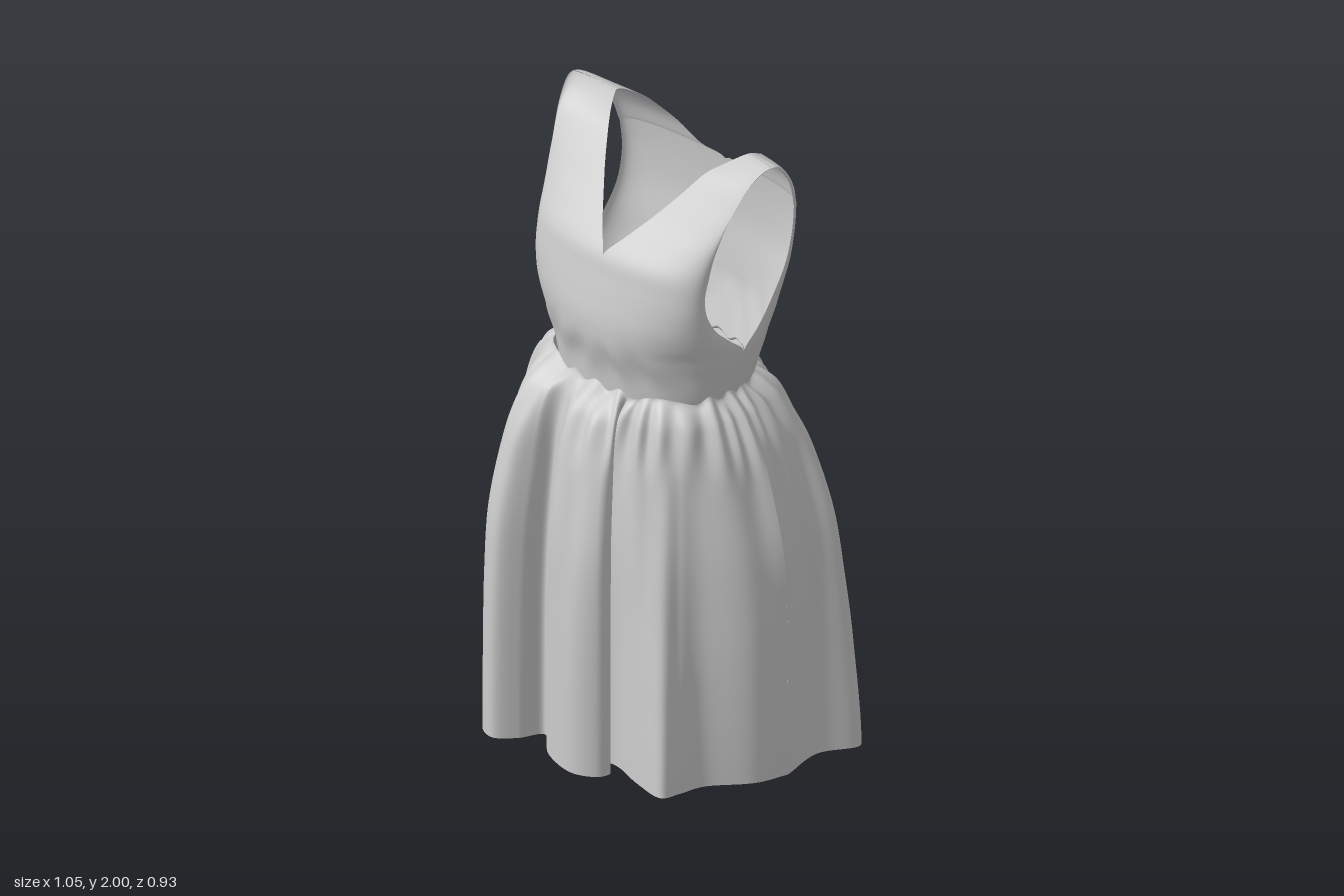
import * as THREE from 'three';
import { mergeGeometries, mergeVertices } from 'three/addons/utils/BufferGeometryUtils.js';

const cloth = new THREE.MeshStandardMaterial({ color: 0xcccccc, side: THREE.DoubleSide });
const { lerp, smoothstep, clamp } = THREE.MathUtils;
const bump = (y, mid, width) => Math.exp(-(((y - mid) / width) ** 2));
const spow = (v, p) => Math.sign(v) * Math.abs(v) ** p;

// Grid surface from a function point(u, v) -> [x, y, z]
function grid(point, nu, nv, flip = false) {
  const pos = [], index = [];
  for (let j = 0; j <= nv; j++)
    for (let i = 0; i <= nu; i++) pos.push(...point(i / nu, j / nv));
  for (let j = 0; j < nv; j++)
    for (let i = 0; i < nu; i++) {
      const a = j * (nu + 1) + i, b = a + 1, c = a + nu + 1, d = c + 1;
      index.push(...(flip ? [a, c, b, b, c, d] : [a, b, c, b, d, c]));
    }
  const g = new THREE.BufferGeometry();
  g.setAttribute('position', new THREE.Float32BufferAttribute(pos, 3));
  g.setIndex(index);
  return g;
}

function clothMesh(geometry, name) {
  const g = mergeVertices(geometry, 1e-4);
  g.computeVertexNormals();
  const mesh = new THREE.Mesh(g, cloth);
  mesh.name = name;
  return mesh;
}

// Bodice rows: height, neckline x and z, armhole x and z
const FRONT = [
  [1.24, 0, 0.25, 0.305, 0.02], [1.32, 0, 0.257, 0.328, 0.01], [1.4, 0, 0.278, 0.348, 0],
  [1.45, 0, 0.282, 0.345, 0.05], [1.5, 0, 0.278, 0.335, 0.1], [1.56, 0, 0.265, 0.328, 0.13],
  [1.62, 0, 0.25, 0.325, 0.135], [1.68, 0, 0.232, 0.328, 0.122], [1.74, 0.05, 0.18, 0.333, 0.108],
  [1.8, 0.1, 0.122, 0.342, 0.088], [1.86, 0.145, 0.068, 0.352, 0.062], [1.93, 0.192, 0.005, 0.369, 0.025],
  [1.975, 0.228, -0.045, 0.382, -0.01], [1.995, 0.25, -0.08, 0.391, -0.038], [2, 0.26, -0.1, 0.394, -0.06],
];
const BACK = [
  [1.24, 0, -0.2, 0.305, 0.02], [1.32, 0, -0.225, 0.328, 0.01], [1.4, 0, -0.25, 0.348, 0],
  [1.45, 0, -0.257, 0.345, -0.06], [1.5, 0, -0.263, 0.34, -0.11], [1.6, 0, -0.276, 0.336, -0.18],
  [1.7, 0, -0.277, 0.339, -0.207], [1.785, 0, -0.272, 0.347, -0.207], [1.8, 0.09, -0.267, 0.349, -0.204],
  [1.85, 0.16, -0.25, 0.356, -0.19], [1.9, 0.21, -0.215, 0.363, -0.168], [1.95, 0.243, -0.17, 0.376, -0.13],
  [1.98, 0.254, -0.14, 0.386, -0.103], [1.995, 0.259, -0.118, 0.392, -0.08], [2, 0.26, -0.1, 0.394, -0.06],
];

// One quarter of the bodice, swept from the centre line to the side
function bodicePanel(rows, side, face) {
  const curve = (k) => new THREE.CatmullRomCurve3(
    rows.map((r) => new THREE.Vector3(r[k], r[0], r[k + 1])), false, 'catmullrom', 0.5);
  const neck = curve(1), arm = curve(3), last = rows.length - 1;
  const power = face > 0 ? 0.95 : 0.85;
  const depth = (w) => Math.max(0, 1 - w ** (2 / power)) ** (power / 2);
  return grid((u, v) => {
    const n = neck.getPoint(v), a = arm.getPoint(v);
    const k = Math.min(Math.floor(v * last), last - 1);
    // straight side seam below the armhole
    const za = k < 2 ? lerp(rows[k][4], rows[k + 1][4], v * last - k) : a.z;
    const xn = Math.max(0, n.x), t = u * Math.PI / 2;
    const x = lerp(xn, a.x, Math.sin(t) ** power);
    let z = lerp(za, n.z, depth(Math.min(1, x / a.x)) / depth(xn / a.x));
    // puckers above the waist seam
    const wrinkle = 0.005 * bump(n.y, 1.36, 0.06) * Math.cos(x * 55 + 14 * n.y + side * Math.sin(9 * x));
    z += face * wrinkle * Math.cos(t);
    const y = n.y - 0.022 * (1 - u) * smoothstep(n.y, 1.92, 2);
    // the bodice leans slightly to the wearer's right
    const lean = 0.011 * smoothstep(n.y, 1.25, 1.42) * x / a.x;
    return [side * x - lean, y, z];
  }, 24, last * 5, side * face < 0);
}

// Hem outline going round from the left side through the front: x, z, matching waist angle
const HEM = [
  [0.515, 0, 0], [0.49, 0.11, 14], [0.41, 0.23, 29], [0.395, 0.32, 38], [0.375, 0.385, 46], [0.26, 0.362, 56],
  [0.15, 0.325, 64], [0.085, 0.335, 69], [0.11, 0.355, 72], [0.165, 0.37, 75], [0.155, 0.42, 79],
  [0.08, 0.453, 84], [-0.04, 0.415, 96], [-0.13, 0.335, 105], [-0.165, 0.41, 112], [-0.22, 0.465, 118],
  [-0.295, 0.42, 127], [-0.34, 0.275, 140], [-0.42, 0.19, 152], [-0.505, 0.09, 167], [-0.527, 0, 180],
  [-0.49, -0.1, 194], [-0.455, -0.26, 212], [-0.33, -0.39, 232], [-0.2, -0.462, 247], [-0.05, -0.46, 263],
  [0.09, -0.42, 280], [0.19, -0.4, 293], [0.29, -0.35, 306], [0.41, -0.35, 318], [0.522, -0.29, 330],
  [0.475, -0.16, 344], [0.515, 0, 360],
];

// Share of the flare reached, at heights TOP to 0: front, sides, back
const TOP = 1.265;
const FLARE = [[TOP, 0, 0, 0], [1.235, 0.22, 0.12, 0.14], [1.2, 0.42, 0.26, 0.25], [1.1, 0.65, 0.5, 0.38],
  [1, 0.77, 0.65, 0.46], [0.8, 0.92, 0.88, 0.6], [0.6, 0.97, 0.97, 0.72], [0.4, 0.99, 0.99, 0.85], [0, 1, 1, 1]];

// Smooth interpolation of the flare table at height y and angle a
function flare(y, a) {
  const s = Math.sin(a);
  // the front left corner hangs straight, like the back
  const slow = Math.max(-s, 1.1 * bump(a, 0.72, 0.3));
  const f = FLARE.map((r) => lerp(lerp(r[2], r[1], Math.max(0, s) ** 2), r[3], Math.max(0, slow)));
  const slope = (i) => i < 1 || i > FLARE.length - 2 ? 0
    : (f[i + 1] - f[i - 1]) / (FLARE[i + 1][0] - FLARE[i - 1][0]);
  let k = 0;
  while (k < FLARE.length - 2 && FLARE[k + 1][0] > y) k++;
  const h = FLARE[k + 1][0] - FLARE[k][0], t = clamp((y - FLARE[k][0]) / h, 0, 1);
  return f[k] + (f[k + 1] - f[k]) * t * t * (3 - 2 * t)
    + h * t * (1 - t) * (slope(k) * (1 - t) - slope(k + 1) * t);
}

function skirtGeometry() {
  const hem = new THREE.CatmullRomCurve3(
    HEM.map(([x, z, a]) => new THREE.Vector3(x, THREE.MathUtils.degToRad(a), z)), false, 'catmullrom', 0.5);
  return grid((u, v) => {
    const h = hem.getPoint(u), a = h.y, c = Math.cos(a), s = Math.sin(a);
    const hemY = Math.max(0, 0.042 + 0.085 * h.z + 0.03 * h.x * h.x + 0.02 * h.x);
    const y = lerp(TOP, hemY, v ** 1.3);
    const wx = 0.312 * spow(c, 0.88), wz = 0.02 + (s > 0 ? 0.237 : 0.22) * spow(s, 0.88);
    const t = flare(y, a);
    // fine gathers at the waist merging into broader folds below
    const fine = Math.sin(34 * a + 3 * Math.sin(5 * a)) * bump(y, 1.18, 0.1) * 0.01;
    const broad = Math.sin(15 * a + 2.5 * Math.sin(4 * a + 1)) * bump(y, 0.95, 0.28) * 0.01;
    const r = (fine + broad) * smoothstep(v, 0, 0.05);
    const ruffle = 0.01 * Math.sin(17 * a + 3 * Math.sin(4 * a)) * bump(y, 1.26, 0.04);
    return [lerp(wx, h.x, t) + r * c, y + ruffle, lerp(wz, h.z, t) + r * s];
  }, 384, 64, true);
}

export function createModel() {
  const dress = new THREE.Group();
  dress.name = 'dress';
  const panels = [1, -1].flatMap((side) => [bodicePanel(FRONT, side, 1), bodicePanel(BACK, side, -1)]);
  dress.add(clothMesh(mergeGeometries(panels), 'bodice'));
  dress.add(clothMesh(skirtGeometry(), 'gatheredSkirt'));
  return dress;
}
